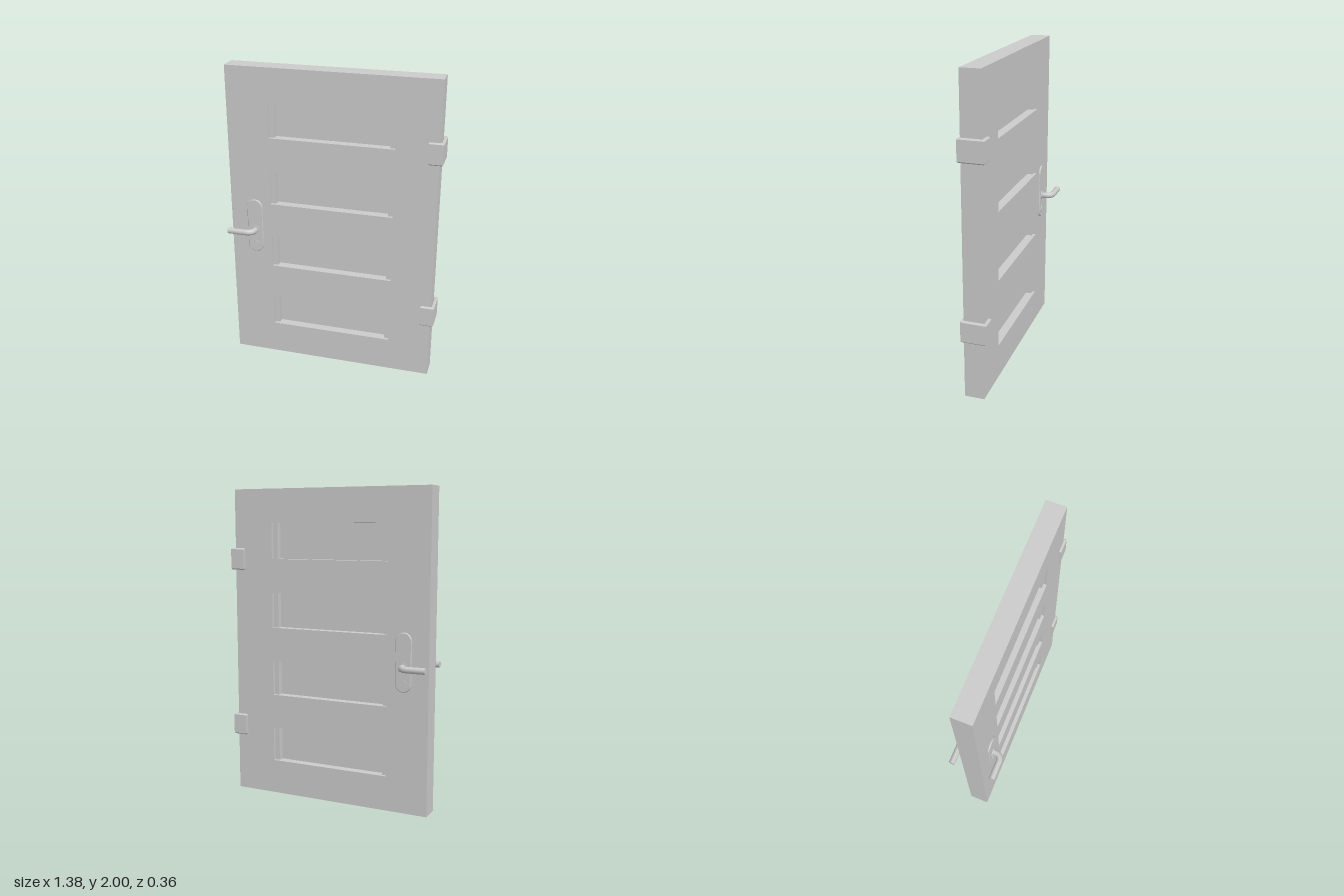
import * as THREE from 'three';

const grey = new THREE.MeshStandardMaterial({ color: 0xcccccc, flatShading: true });
const smooth = new THREE.MeshStandardMaterial({ color: 0xcccccc });
const glass = new THREE.MeshStandardMaterial({ color: 0xeeeeee });

const W = 1.341, H = 2, T = 0.125;   // door slab
const HANDLE_X = -0.509, OFFSET = -0.005;

function add(parent, name, geometry, material, x = 0, y = 0, z = 0) {
  const mesh = new THREE.Mesh(geometry, material);
  mesh.name = name;
  mesh.position.set(x, y, z);
  parent.add(mesh);
  return mesh;
}

function rectangle(target, x0, y0, x1, y1) {
  target.moveTo(x0, y0);
  target.lineTo(x1, y0);
  target.lineTo(x1, y1);
  target.lineTo(x0, y1);
  target.closePath();
  return target;
}

// Slab with four openings, each with a pane and two side stops
function buildPanel(door) {
  const slab = rectangle(new THREE.Shape(), -W / 2, 0, W / 2, H);
  for (let i = 0; i < 4; i++) {
    const y = 0.222 + i * 0.445, h = 0.228;
    slab.holes.push(rectangle(new THREE.Path(), -0.4, y, 0.4, y + h));
    add(door, 'windowPane', new THREE.BoxGeometry(0.8, h, 0.012), glass, 0, y + h / 2, 0);
    for (const s of [-1, 1]) {
      add(door, 'windowStop', new THREE.BoxGeometry(0.032, h, T - 0.04), grey, s * 0.384, y + h / 2, 0);
    }
  }
  const geometry = new THREE.ExtrudeGeometry(slab, { depth: T, bevelEnabled: false });
  add(door, 'doorPanel', geometry, grey, 0, 0, -T / 2);
}

// C-shaped bracket wrapping the hinge edge of the slab
function buildHinge(door, y) {
  const b = 0.007, x0 = 0.6 + b, x1 = 0.693 - b, z = 0.081 - b, t = 0.01;
  const c = new THREE.Shape();
  c.moveTo(x0, -z);
  c.lineTo(x1, -z);
  c.lineTo(x1, z);
  c.lineTo(x0, z);
  c.lineTo(x0, z - t);
  c.lineTo(x1 - t, z - t);
  c.lineTo(x1 - t, -z + t);
  c.lineTo(x0, -z + t);
  c.closePath();
  const geometry = new THREE.ExtrudeGeometry(c, {
    depth: 0.14 - 2 * b, bevelThickness: b, bevelSize: b, bevelSegments: 1,
  });
  geometry.translate(0, 0, -0.07 + b);
  geometry.rotateX(-Math.PI / 2);
  add(door, 'hinge', geometry, grey, 0, y, OFFSET);
}

// Escutcheon, lock cylinder and bent lever on one face (s = 1 front, -1 back)
function buildHandle(door, s) {
  const handle = new THREE.Group();
  handle.name = s > 0 ? 'frontHandle' : 'backHandle';
  handle.position.set(HANDLE_X, 0, 0);
  door.add(handle);

  const r = 0.048, plate = new THREE.Shape();
  plate.absarc(0, 0.818, r, Math.PI, Math.PI * 2);
  plate.absarc(0, 1.082, r, 0, Math.PI);
  plate.closePath();
  const plateGeometry = new THREE.ExtrudeGeometry(plate, {
    depth: 0.01, bevelThickness: 0.004, bevelSize: 0.004, bevelSegments: 1, curveSegments: 10,
  });
  add(handle, 'backPlate', plateGeometry, grey, 0, 0, s * (T / 2) - 0.005);

  const lock = new THREE.CylinderGeometry(0.024, 0.024, 0.026, 12).rotateX(Math.PI / 2);
  add(handle, 'lockCylinder', lock, grey, 0, 0.82, s * T / 2);
  const collar = new THREE.CylinderGeometry(0.03, 0.03, 0.03, 12).rotateX(Math.PI / 2);
  add(handle, 'collar', collar, grey, 0, 0.922, s * T / 2);

  const y = 0.922, zOut = s * 0.135 + OFFSET, bend = 0.05, end = -0.166;
  const p = (x, z) => new THREE.Vector3(x, y, z);
  const path = new THREE.CurvePath();
  path.add(new THREE.LineCurve3(p(0, s * 0.05), p(0, zOut - s * bend)));
  path.add(new THREE.QuadraticBezierCurve3(p(0, zOut - s * bend), p(0, zOut), p(-bend, zOut)));
  path.add(new THREE.LineCurve3(p(-bend, zOut), p(end, zOut)));
  add(handle, 'lever', new THREE.TubeGeometry(path, 24, 0.02, 8), smooth);
  const cap = new THREE.CircleGeometry(0.02, 8).rotateY(-Math.PI / 2);
  add(handle, 'leverEnd', cap, grey, end, y, zOut);
}

export function createModel() {
  const model = new THREE.Group();
  model.name = 'door';

  // The leaf stands slightly ajar
  const leaf = new THREE.Group();
  leaf.name = 'doorLeaf';
  leaf.rotation.y = 0.0935;
  leaf.position.set(-0.007, 0, -0.032);
  model.add(leaf);

  buildPanel(leaf);
  for (const y of [0.447, 1.553]) buildHinge(leaf, y);
  for (const s of [1, -1]) buildHandle(leaf, s);
  return model;
}
